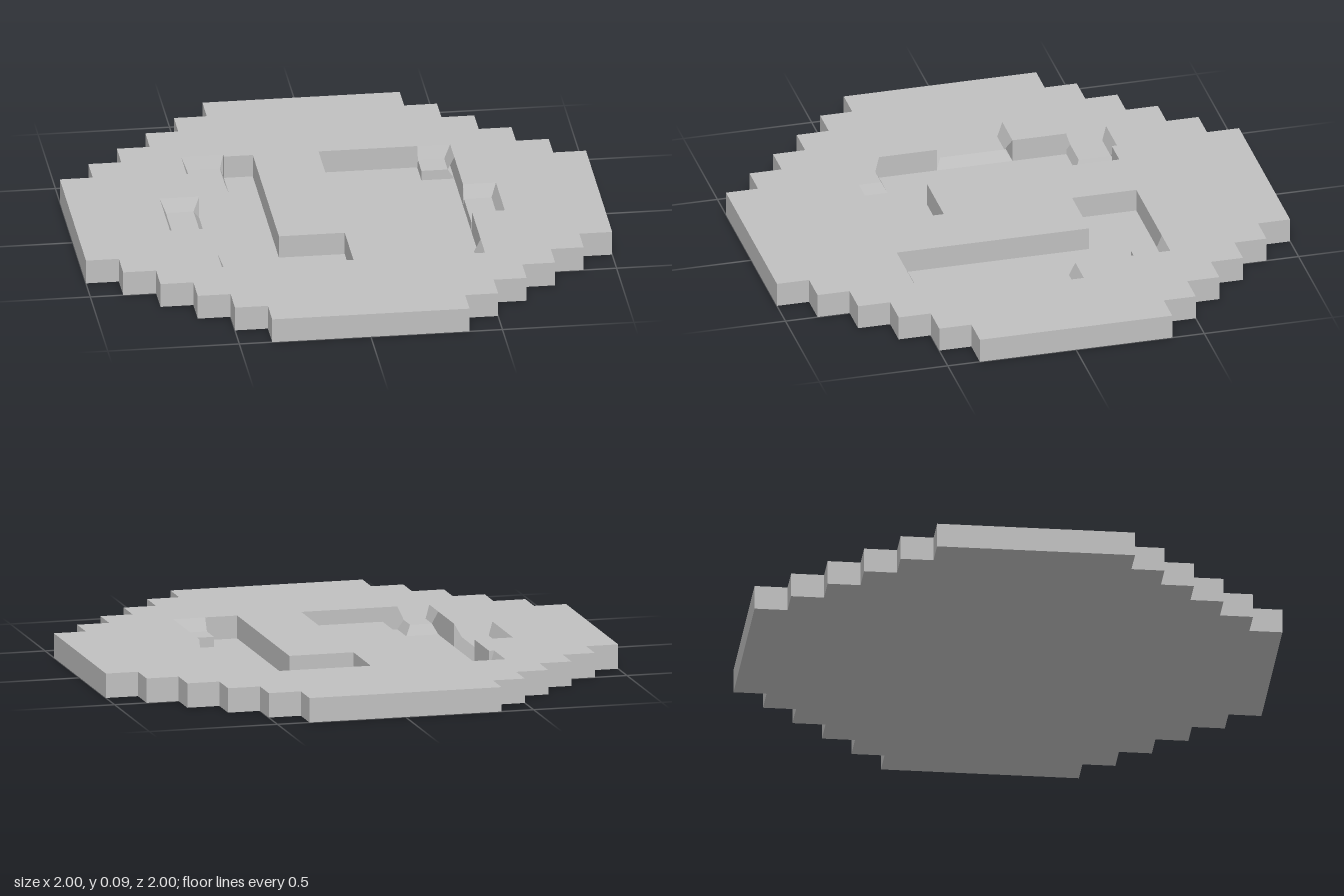
import * as THREE from 'three';

const TOP = 0.094, FLOOR = 0.006, LEDGE = 0.045;

const stone = new THREE.MeshStandardMaterial({ color: 0xc0c0c0 });
stone.name = 'stone grey';

// Points are given as [x, z] on the ground plane
const toVectors = (points) => points.map(([x, z]) => new THREE.Vector2(x, -z));

// Stepped round outline, one quadrant turned four times
function steppedOutline() {
  const quadrant = [];
  for (let i = 0; i < 6; i++) {
    const x = 1 - i * 0.125, z = 0.375 + i * 0.125;
    quadrant.push([x, z]);
    if (i < 5) quadrant.push([x - 0.125, z]);
  }
  const points = [];
  for (let turn = 0; turn < 4; turn++) {
    for (let [x, z] of quadrant) {
      for (let k = 0; k < turn; k++) [x, z] = [-z, x];
      points.push([x, z]);
    }
  }
  return points;
}

function layer(name, y0, y1, holes) {
  const shape = new THREE.Shape(toVectors(steppedOutline()));
  shape.holes = holes.map((h) => new THREE.Path(toVectors(h)));
  const geo = new THREE.ExtrudeGeometry(shape, { depth: y1 - y0, bevelEnabled: false });
  geo.rotateX(-Math.PI / 2).translate(0, y0, 0);
  const mesh = new THREE.Mesh(geo, stone);
  mesh.name = name;
  return mesh;
}

// Shelf with sloped sides: walls climb to the top, risers drop to the channel floor.
// Rectangles are [x0, z0, x1, z1]; risers lists the sides open to the channel.
function ledge(name, inner, outer, risers) {
  const corners = ([x0, z0, x1, z1]) => [[x0, z0], [x0, z1], [x1, z1], [x1, z0]];
  const sides = ['left', 'front', 'right', 'back'];
  const a = corners(inner), b = corners(outer);
  const positions = [];
  const quad = (...p) => [0, 1, 2, 0, 2, 3].forEach((i) => positions.push(...p[i]));
  const at = ([x, z], y) => [x, y, z];
  quad(...a.map((p) => at(p, LEDGE)));
  sides.forEach((side, i) => {
    const j = (i + 1) % 4;
    const y = risers.includes(side) ? FLOOR : TOP;
    quad(at(a[j], LEDGE), at(a[i], LEDGE), at(b[i], y), at(b[j], y));
  });
  const geo = new THREE.BufferGeometry();
  geo.setAttribute('position', new THREE.Float32BufferAttribute(positions, 3));
  geo.computeVertexNormals();
  const mesh = new THREE.Mesh(geo, stone);
  mesh.name = name;
  return mesh;
}

export function createModel() {
  const group = new THREE.Group();
  group.name = 'steppedPlate';

  // Bent channels with their side notches
  const channelWest = [
    [0, 0.5], [0, 0.25], [-0.25, 0.25], [-0.25, -0.5], [-0.36, -0.5], [-0.36, -0.52],
    [-0.52, -0.52], [-0.52, -0.36], [-0.5, -0.36], [-0.5, -0.15], [-0.65, -0.15],
    [-0.65, 0.145], [-0.5, 0.145], [-0.5, 0.5],
  ];
  const channelEast = [
    [0, -0.5], [0, -0.25], [0.25, -0.25], [0.25, 0.5], [0.5, 0.5], [0.5, 0.125],
    [0.625, 0.125], [0.625, -0.13], [0.5, -0.13], [0.5, -0.5],
  ];
  group.add(layer('basePlate', 0, FLOOR, []));
  group.add(layer('channelledSlab', FLOOR, TOP, [channelWest, channelEast]));

  // Shelves in the channel corners and side notches
  group.add(
    ledge('backRightLedge', [-0.5, -0.5, -0.375, -0.375], [-0.52, -0.52, -0.36, -0.36], ['right', 'front']),
    ledge('frontRightLedge', [-0.48, 0.39, -0.395, 0.48], [-0.5, 0.37, -0.375, 0.5], ['right', 'back']),
    ledge('backLeftLedge', [0.375, -0.48, 0.475, -0.38], [0.375, -0.5, 0.5, -0.38], ['left', 'front']),
    ledge('frontLeftLedge', [0.375, 0.375, 0.475, 0.475], [0.375, 0.375, 0.5, 0.5], ['left', 'back']),
    ledge('rightNotch', [-0.63, -0.125, -0.525, 0.125], [-0.65, -0.15, -0.5, 0.145], ['right']),
    ledge('leftNotch', [0.5, -0.105, 0.605, 0.105], [0.5, -0.13, 0.625, 0.125], ['left']),
  );
  return group;
}
